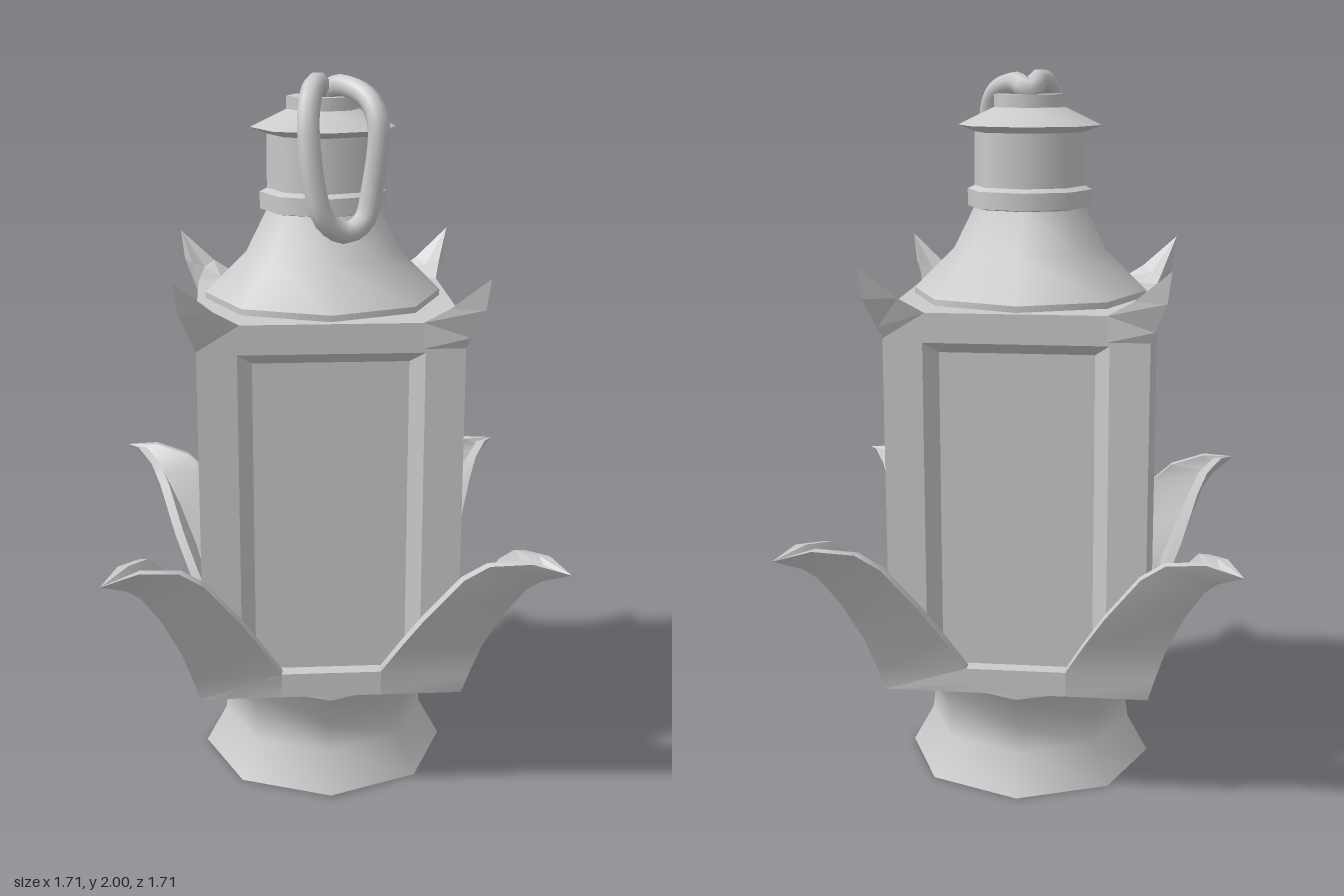
import * as THREE from 'three';
import { toCreasedNormals } from 'three/addons/utils/BufferGeometryUtils.js';

const smooth = new THREE.MeshStandardMaterial({ color: 0xcccccc });
const flat = new THREE.MeshStandardMaterial({ color: 0xcccccc, flatShading: true });

// Skin a list of equal-length closed loops; optionally fan-close the last loop
function loft(rings, capEnd = false) {
  const pos = [];
  const tri = (...pts) => pts.forEach(p => pos.push(...p));
  for (let r = 0; r < rings.length - 1; r++) {
    const a = rings[r], b = rings[r + 1], n = a.length;
    for (let i = 0; i < n; i++) {
      const j = (i + 1) % n;
      tri(a[i], a[j], b[j]);
      tri(a[i], b[j], b[i]);
    }
  }
  const last = rings[rings.length - 1];
  if (capEnd) for (let i = 1; i < last.length - 1; i++) tri(last[0], last[i], last[i + 1]);
  const geo = new THREE.BufferGeometry();
  geo.setAttribute('position', new THREE.Float32BufferAttribute(pos, 3));
  geo.computeVertexNormals();
  return geo;
}

function add(parent, name, geo, mat = smooth) {
  const mesh = new THREE.Mesh(geo, mat);
  mesh.name = name;
  parent.add(mesh);
  return mesh;
}

// Eight-sided turned part: each band is smooth, edges between bands stay sharp
function turned(parent, name, bands) {
  const group = new THREE.Group();
  group.name = name;
  bands.forEach((band, i) => add(group, `${name}Band${i + 1}`,
    new THREE.LatheGeometry(band.map(([r, y]) => new THREE.Vector2(r, y)), 8)));
  parent.add(group);
}

// Rectangle loop facing +z
const rect = (u, y0, y1, z) => [[-u, y0, z], [u, y0, z], [u, y1, z], [-u, y1, z]];

// Wall with a bevelled recess and a flat pane
function wallGeometry() {
  const d = 0.5 * Math.SQRT1_2;
  return loft([
    rect(d, 0.33, 1.38, d),
    rect(0.247, 0.365, 1.3, d),
    rect(0.208, 0.385, 1.27, d - 0.032),
  ], true);
}

// Folded leaf: [edge half-width, edge y, edge z, ridge y, ridge z]
function leafGeometry() {
  const rows = [
    [0.16, 0.32, 0.355, 0.32, 0.515],
    [0.16, 0.39, 0.355, 0.385, 0.54],
    [0.152, 0.49, 0.425, 0.48, 0.58],
    [0.14, 0.58, 0.49, 0.6, 0.65],
    [0.105, 0.71, 0.59, 0.69, 0.72],
    [0.08, 0.76, 0.655, 0.725, 0.765],
    [0.04, 0.782, 0.76, 0.745, 0.81],
    [0, 0.765, 0.855, 0.765, 0.855],
  ];
  const rings = rows.map(([w, y, z, ry, rz], i) => {
    const t = i === rows.length - 1 ? 0 : 0.022;
    const wi = Math.max(w - t * 0.8, 0);
    return [
      [0, ry, rz], [w, y, z], [wi, y, z - t],
      [0, ry + t * 0.6, rz - t * 1.6], [-wi, y, z - t], [-w, y, z],
    ];
  });
  return toCreasedNormals(loft(rings), 0.5);
}

// Corner horn: [ridge y, ridge z, edge half-width, edge y, edge z, inner y, inner z]
function hornGeometry() {
  const rows = [
    [1.31, 0.5, 0.08, 1.31, 0.42, 1.31, 0.4],
    [1.34, 0.515, 0.08, 1.38, 0.42, 1.38, 0.405],
    [1.42, 0.56, 0.045, 1.42, 0.48, 1.405, 0.475],
    [1.505, 0.575, 0, 1.505, 0.575, 1.505, 0.575],
  ];
  return loft(rows.map(([ry, rz, w, y, z, iy, iz]) =>
    [[0, ry, rz], [w, y, z], [0, iy, iz], [-w, y, z]]));
}

export function createModel() {
  const model = new THREE.Group();
  model.name = 'lantern';

  // Flared foot
  turned(model, 'foot', [
    [[0, 0], [0.355, 0]],
    [[0.355, 0], [0.295, 0.11], [0.285, 0.19], [0.345, 0.295]],
    [[0.345, 0.295], [0.345, 0.325]],
  ]);

  // Square tray under the body
  add(model, 'tray', new THREE.CylinderGeometry(0.515, 0.515, 0.07, 4).translate(0, 0.355, 0), flat);

  // Walls, corner leaves and horns
  const wall = wallGeometry(), leaf = leafGeometry(), horn = hornGeometry();
  for (let i = 0; i < 4; i++) {
    const a = i * Math.PI / 2;
    add(model, `wall${i + 1}`, wall, flat).rotation.y = a + Math.PI / 4;
    add(model, `leaf${i + 1}`, leaf).rotation.y = a;
    add(model, `horn${i + 1}`, horn, flat).rotation.y = a;
  }
  add(model, 'bodyTop', new THREE.CircleGeometry(0.5, 4).rotateX(-Math.PI / 2).translate(0, 1.38, 0), flat);

  // Roof, collar and chimney
  turned(model, 'roof', [
    [[0.33, 1.375], [0.33, 1.397]],
    [[0.33, 1.397], [0.215, 1.51], [0.155, 1.63]],
  ]);
  turned(model, 'collar', [
    [[0.15, 1.625], [0.175, 1.63]],
    [[0.175, 1.63], [0.175, 1.677]],
    [[0.175, 1.677], [0.155, 1.687]],
  ]);
  turned(model, 'chimney', [[[0.155, 1.68], [0.155, 1.835]]]);
  turned(model, 'cap', [
    [[0.15, 1.832], [0.2, 1.852]],
    [[0.2, 1.852], [0.1, 1.9]],
  ]);
  turned(model, 'topRing', [
    [[0.1, 1.895], [0.1, 1.935]],
    [[0.1, 1.935], [0.065, 1.935]],
    [[0.065, 1.935], [0.065, 1.9]],
    [[0.065, 1.9], [0, 1.9]],
  ]);

  // Bent hanging link
  const path = [
    [0, 1.945, 0], [-0.06, 1.972, 0.035], [-0.13, 1.955, 0.075], [-0.172, 1.88, 0.1],
    [-0.177, 1.7, 0.13], [-0.155, 1.625, 0.145], [-0.1, 1.59, 0.17], [-0.05, 1.62, 0.19],
    [-0.03, 1.7, 0.2], [-0.02, 1.87, 0.212], [-0.012, 1.935, 0.17], [-0.005, 1.965, 0.07],
  ].map(p => new THREE.Vector3(...p));
  add(model, 'hangingLink', new THREE.TubeGeometry(new THREE.CatmullRomCurve3(path, true), 48, 0.03, 8, true));

  return model;
}
